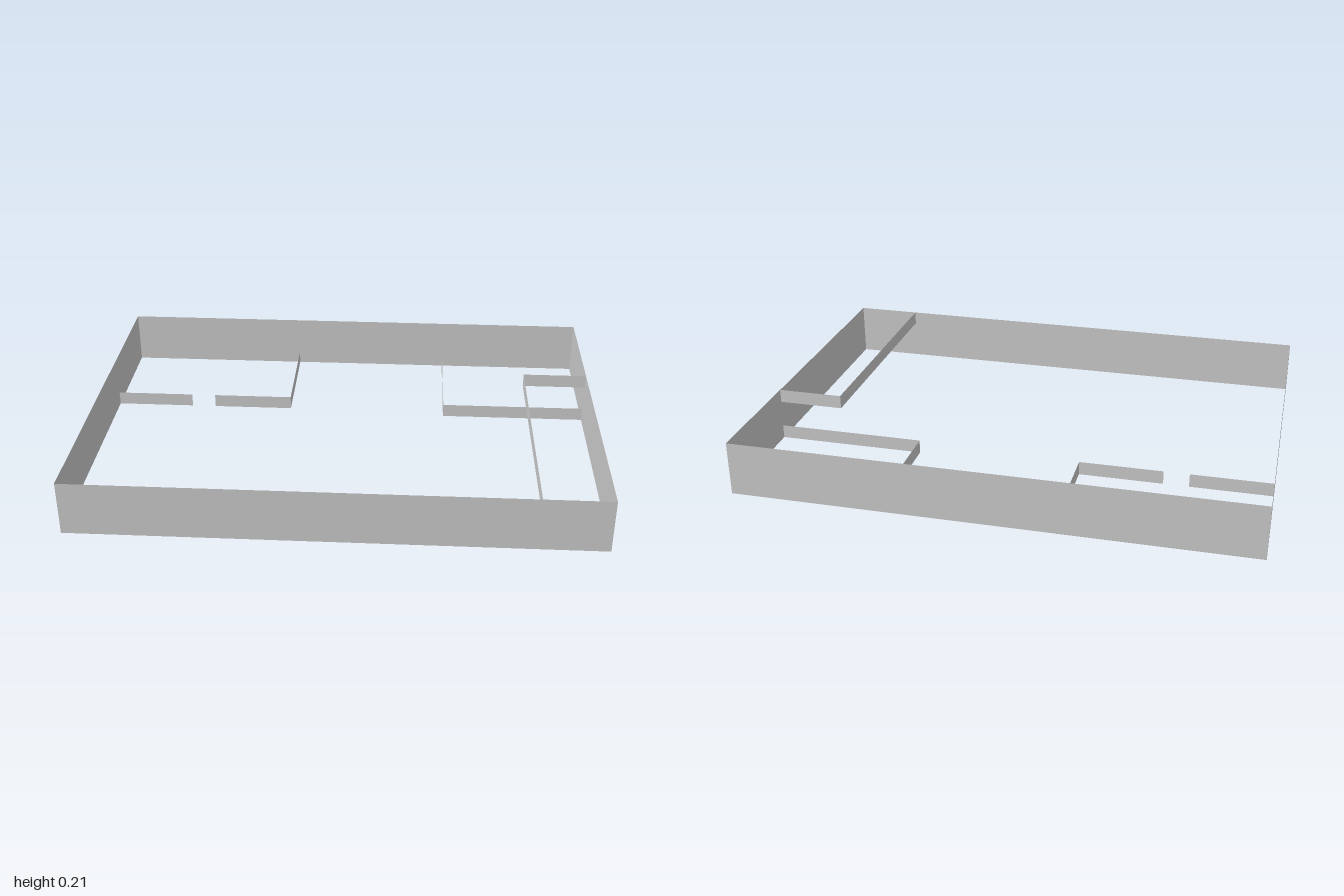
import * as THREE from 'three';

const HEIGHT = 0.213; // outer walls
const LOW = 0.054;    // partitions

export function createModel() {
  const group = new THREE.Group();
  const material = new THREE.MeshStandardMaterial({
    color: 0xcccccc, side: THREE.DoubleSide, flatShading: true,
  });

  // Paper-thin upright panel between two floor points [x, z]
  function wall(name, [x0, z0], [x1, z1], height, base = 0) {
    const dx = x1 - x0, dz = z1 - z0;
    const mesh = new THREE.Mesh(new THREE.PlaneGeometry(Math.hypot(dx, dz), height), material);
    mesh.position.set((x0 + x1) / 2, base + height / 2, (z0 + z1) / 2);
    mesh.rotation.y = Math.atan2(-dz, dx);
    mesh.name = name;
    group.add(mesh);
  }

  // Outer walls
  const W = 1, D = 0.72;
  wall('frontWall', [-W, D], [W, D], HEIGHT);
  wall('leftWall', [W, D], [W, -D], HEIGHT);
  wall('backWall', [W, -D], [-W, -D], HEIGHT);
  wall('rightWall', [-W, -D], [-W, D], HEIGHT);

  // Right back room, with a door gap in its front partition
  wall('rightRoomFrontOuter', [-W, -0.27], [-0.68, -0.27], LOW);
  wall('rightRoomFrontInner', [-0.58, -0.27], [-0.25, -0.27], LOW);
  wall('rightRoomSide', [-0.25, -0.27], [-0.25, -D], LOW);

  // Left back room, with a door gap in its side partition
  wall('leftRoomFront', [W, -0.24], [0.41, -0.24], LOW);
  wall('leftRoomSideFront', [0.41, -0.24], [0.41, -0.45], LOW);
  wall('leftRoomSideBack', [0.41, -0.54], [0.41, -D], LOW);

  // Raised strip level with the top of the outer walls
  wall('raisedStripSide', [0.74, D], [0.74, -0.235], LOW, HEIGHT - LOW);
  wall('raisedStripEnd', [0.74, -0.235], [W, -0.235], LOW, HEIGHT - LOW);

  return group;
}
